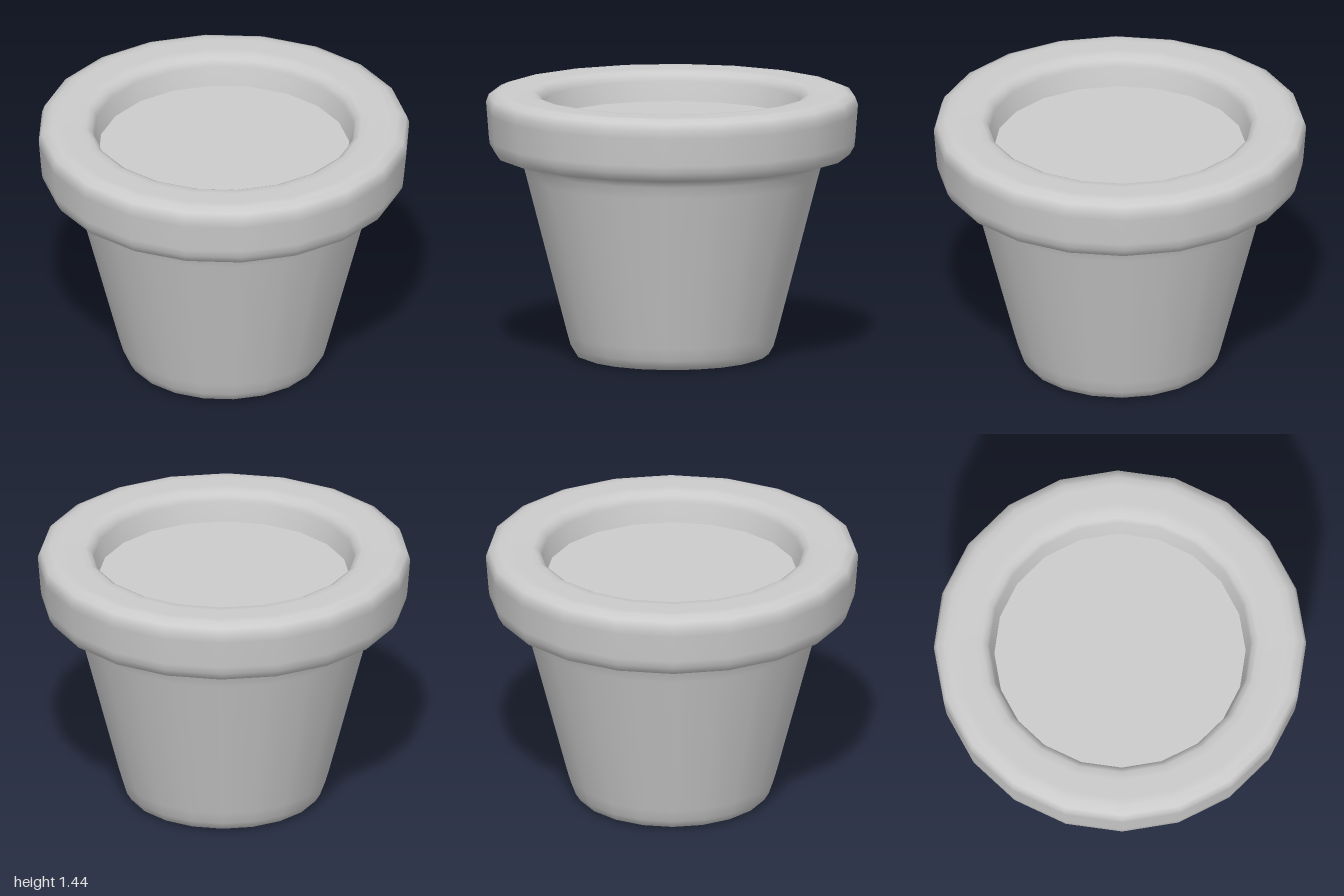
import * as THREE from 'three';

const SIDES = 20;

export function createModel() {
  const group = new THREE.Group();
  group.name = 'flowerPot';
  const material = new THREE.MeshStandardMaterial({ color: 0xcccccc });

  // Pot: one turned profile, from the base centre up the outside and down the inside
  const profile = [
    [0, 0], [0.44, 0], [0.48, 0.003], [0.52, 0.018], [0.545, 0.06], // base and its rounded edge
    [0.565, 0.13], [0.785, 0.98], [0.803, 1.045], [0.825, 1.08], [0.865, 1.095], // tapered wall, fillet
    [0.915, 1.095], [0.955, 1.107], [0.98, 1.15], // underside of the rim
    [0.985, 1.19], [0.997, 1.34], [1, 1.38], [0.985, 1.42], [0.94, 1.44], // rim band
    [0.9, 1.44], [0.79, 1.44], [0.745, 1.436], [0.715, 1.42], [0.7, 1.385], // rim top, inner lip
    [0.675, 1.28], [0.66, 1.22], // inner wall, ending just under the soil
  ].map(([r, y]) => new THREE.Vector2(r, y));
  const pot = new THREE.Mesh(new THREE.LatheGeometry(profile, SIDES), material);
  pot.name = 'pot';
  group.add(pot);

  // Soil: flat disc that meets the inner wall
  const soil = new THREE.Mesh(new THREE.CircleGeometry(0.675, SIDES), material);
  soil.name = 'soil';
  soil.rotation.x = -Math.PI / 2;
  soil.position.y = 1.28;
  group.add(soil);

  return group;
}
